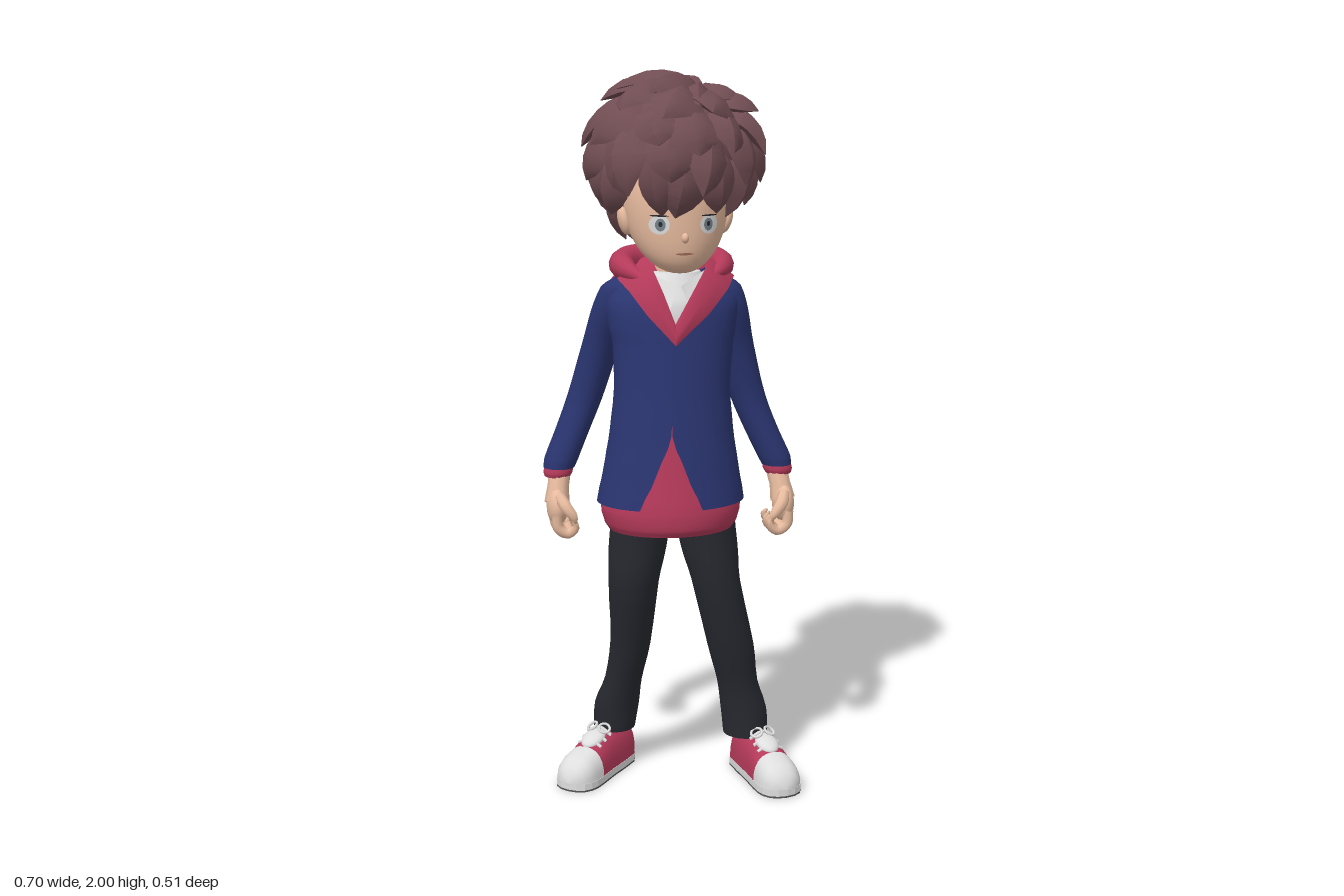
import * as THREE from 'three';
import { mergeGeometries, toCreasedNormals } from 'three/addons/utils/BufferGeometryUtils.js';

const V = (x, y, z) => new THREE.Vector3(x, y, z);
const mat = (name, color) => new THREE.MeshStandardMaterial({ name, color, side: THREE.DoubleSide });

// Skin a list of equal-length point rings
function loft(rings, closed = true, caps = false) {
  const n = rings[0].length, pos = rings.flat().flatMap(p => [p.x, p.y, p.z]), idx = [];
  for (let i = 0; i < rings.length - 1; i++) for (let j = 0; j < (closed ? n : n - 1); j++) {
    const a = i * n + j, b = i * n + (j + 1) % n;
    idx.push(a, b, b + n, a, b + n, a + n);
  }
  if (caps) [rings[0], rings[rings.length - 1]].forEach((ring, end) => {
    const c = ring.reduce((s, p) => s.add(p), V(0, 0, 0)).divideScalar(n), s = pos.length / 3;
    [c, ...ring].forEach(p => pos.push(p.x, p.y, p.z));
    for (let j = 0; j < n; j++) {
      const a = s + 1 + j, b = s + 1 + (j + 1) % n;
      end ? idx.push(s, a, b) : idx.push(s, b, a);
    }
  });
  const g = new THREE.BufferGeometry();
  g.setAttribute('position', new THREE.Float32BufferAttribute(pos, 3));
  g.setIndex(idx);
  g.computeVertexNormals();
  return g;
}

// Smooth stack of horizontal ellipses [x, y, z, rx, rz, frontGap], listed bottom to top
function stack(rows, closed = true, caps = true, seg = 24) {
  const mid = new THREE.CatmullRomCurve3(rows.map(r => V(r[0], r[1], r[2])));
  const size = new THREE.CatmullRomCurve3(rows.map(r => V(r[3], r[4], r[5] || 0)), false, 'catmullrom', 0.3);
  const steps = (rows.length - 1) * 3, rings = [];
  for (let i = 0; i <= steps; i++) {
    const c = mid.getPoint(i / steps), s = size.getPoint(i / steps), ring = [];
    const gap = closed ? 0 : Math.max(0, s.z), turn = closed ? 0 : -.13;
    for (let j = 0; j < (closed ? seg : seg + 1); j++) {
      const a = turn + gap + (2 * Math.PI - 2 * gap) * j / seg;
      ring.push(V(c.x + s.x * Math.sin(a), c.y, c.z + s.y * Math.cos(a)));
    }
    rings.push(ring);
  }
  return loft(rings, closed, caps);
}

// Tube whose radius follows a list of values
function taper(points, radii, seg = 16, sides = 10) {
  const curve = new THREE.CatmullRomCurve3(points.map(p => V(...p)));
  const g = new THREE.TubeGeometry(curve, seg, 1, sides), p = g.attributes.position, v = V(0, 0, 0);
  for (let i = 0; i <= seg; i++) {
    const c = curve.getPointAt(i / seg), f = i / seg * (radii.length - 1), k = Math.min(Math.floor(f), radii.length - 2);
    const r = THREE.MathUtils.lerp(radii[k], radii[k + 1], f - k);
    for (let j = 0; j <= sides; j++) {
      const q = i * (sides + 1) + j;
      v.fromBufferAttribute(p, q).sub(c).multiplyScalar(r).add(c);
      p.setXYZ(q, v.x, v.y, v.z);
    }
  }
  return g;
}

export function createModel() {
  const root = new THREE.Group();
  const hair = mat('hair brown', 0x704d52), skin = mat('skin', 0xf5c6a8), navy = mat('jacket navy', 0x2a3570);
  const red = mat('hoodie red', 0xb53a5a), white = mat('white', 0xdedede), dark = mat('trouser black', 0x282a31);
  const iris = mat('iris grey', 0x76828a), lip = mat('lip', 0xa8705e), soleGrey = mat('sole grey', 0x545558);
  const add = (name, geo, m, parent = root) => {
    const mesh = new THREE.Mesh(geo, m);
    mesh.name = name;
    parent.add(mesh);
    return mesh;
  };
  const ball = (name, m, [x, y, z], [a, b, c], parent = root) => {
    const s = add(name, new THREE.SphereGeometry(1, 20, 14), m, parent);
    s.position.set(x, y, z);
    s.scale.set(a, b, c);
    return s;
  };

  // Trousers, with slight folds above the cuffs
  add('rightTrouserLeg', stack([[-.143, .115, -.125, .06, .068], [-.138, .19, -.108, .064, .066], [-.124, .28, -.07, .053, .058],
    [-.11, .4, -.03, .057, .067], [-.11, .6, .03, .07, .083], [-.1, .7, .038, .08, .09], [-.085, .84, .05, .085, .095]]), dark);
  add('leftTrouserLeg', stack([[.222, .115, -.005, .064, .067], [.215, .19, 0, .066, .064], [.193, .28, .013, .058, .058],
    [.167, .4, .035, .066, .066], [.118, .6, .06, .068, .073], [.1, .7, .052, .08, .086], [.08, .84, .05, .085, .095]]), dark);

  // Red hoodie body under the open jacket
  add('hoodieHem', stack([[-.012, .765, .07, .172, .135], [-.012, .785, .07, .184, .146], [-.012, .83, .07, .194, .147],
    [-.01, .95, .068, .174, .126], [-.008, 1.08, .06, .152, .108]], true, false), red);
  add('trouserSeat', stack([[-.01, .78, .06, .15, .11], [-.01, .88, .06, .16, .115]]), dark);
  // Jacket with a split front hem and a V neck
  add('jacket', stack([[-.012, .842, .07, .204, .154, .43], [-.01, .94, .068, .186, .138, .22], [-.008, 1.04, .063, .17, .125, .01],
    [-.005, 1.15, .055, .16, .115, 0], [0, 1.27, .04, .166, .113, 0], [0, 1.32, .033, .176, .112, .05], [.002, 1.38, .022, .182, .109, .25],
    [.004, 1.43, 0, .162, .1, .6], [.005, 1.47, -.01, .09, .075, 1]], false, false, 36), navy);

  // Sleeves, cuffs and hands
  const arms = {
    right: [[-.3, .905, -.097, .044, .046], [-.292, .93, -.1, .048, .05], [-.262, 1, -.11, .048, .053], [-.222, 1.1, -.115, .05, .056],
      [-.18, 1.25, -.085, .053, .06], [-.152, 1.35, -.045, .06, .068], [-.138, 1.42, -.018, .05, .06], [-.125, 1.45, -.01, .022, .03]],
    left: [[.31, .905, -.025, .042, .046], [.302, .93, -.028, .047, .05], [.27, 1, -.037, .048, .053], [.23, 1.1, -.047, .05, .056],
      [.188, 1.25, -.032, .053, .06], [.16, 1.35, -.012, .06, .068], [.147, 1.42, -.005, .05, .06], [.132, 1.45, -.005, .022, .03]]
  };
  for (const [side, rows] of Object.entries(arms)) {
    const [x, , z] = rows[0], s = side === 'left' ? 1 : -1;
    add(side + 'Sleeve', stack(rows), navy);
    add(side + 'Cuff', stack([[x + s * .005, .88, z + .003, .036, .038], [x + s * .003, .892, z + .002, .041, .043], [x, .912, z, .04, .042]]), red);
    const hand = new THREE.Group();
    hand.name = side + 'Hand';
    hand.position.set(x + s * .006, .81, z + .036);
    hand.scale.x = s;
    root.add(hand);
    add('wrist', taper([[-.008, .085, -.03], [0, .04, -.014], [.005, 0, 0]], [.031, .03, .036]), skin, hand);
    ball('palm', skin, [.005, -.01, .004], [.03, .054, .05], hand);
    for (let i = 0; i < 4; i++) {
      const fz = .042 - i * .026, d = i === 3 ? .012 : 0;
      add('finger', taper([[.012, -.025, fz], [.006, -.064 + d, fz], [-.02, -.08 + d, fz], [-.04, -.06 + d, fz], [-.03, -.038, fz]],
        [.014, .016, .0155, .015, .003], 14, 8), skin, hand);
    }
    add('thumb', taper([[.002, .025, .03], [-.014, -.002, .058], [-.034, -.03, .062], [-.04, -.05, .052]], [.016, .018, .015, .003], 12, 8), skin, hand);
  }

  // Shirt, shirt collar and neck
  add('shirt', stack([[0, 1.29, .034, .1, .095], [.002, 1.38, .022, .13, .1], [.006, 1.43, .01, .1, .086], [.01, 1.465, .005, .07, .072]]), white);
  add('neck', new THREE.CylinderGeometry(.055, .06, .16, 20).translate(.012, 1.46, -.01), skin);
  for (const s of [-1, 1]) {
    const c = x => .004 + s * x;
    add('shirtCollar', loft([[V(c(.085), 1.475, .06), V(c(.004), 1.435, .112)], [V(c(.068), 1.42, .106), V(c(.03), 1.37, .132)]], false), white);
    // Folded hood lapel running down to the point of the V
    const row = (mid, out, yo, zo, inn, yi, zi) => [V(mid + s * out, yo, zo),
      V(mid + s * (out + inn) / 2, (yo + yi) / 2, (zo + zi) / 2 + .015), V(mid + s * inn, yi, zi)];
    add('hoodLapel', loft([row(-.013, 0, 1.28, .155, 0, 1.338, .148), row(-.002, .085, 1.362, .13, .04, 1.42, .126),
      row(.008, .135, 1.42, .085, .07, 1.475, .088), row(.01, .162, 1.45, .03, .08, 1.512, .03)], false), red);
  }
  // Hood: rim and lower roll behind the neck
  const around = half => [...half.map(p => [p[0] - .002, p[1], p[2]]), ...half.slice(0, -1).reverse().map(p => [-p[0] + .014, p[1], p[2]])];
  const rim = [[-.09, 1.455, .075], [-.122, 1.472, .03], [-.128, 1.48, -.02], [-.09, 1.482, -.085], [.006, 1.48, -.112]];
  const roll = [[-.13, 1.43, .03], [-.122, 1.42, -.04], [-.085, 1.41, -.088], [.006, 1.405, -.108]];
  add('hoodRim', taper(around(rim), [.012, .032, .04, .046, .048, .046, .04, .032, .012], 48, 12), red);
  add('hoodRoll', taper(around(roll), [.015, .04, .046, .047, .046, .04, .015], 36, 12), red);
  ball('hoodBack', red, [.005, 1.445, -.065], [.13, .06, .092]);

  // Head: an egg whose lower part slides forward to form the chin
  const H = V(.017, 1.65, -.012), R = V(.142, .188, .14);
  const chin = y => .065 * Math.max(0, -y / R.y) ** 2;
  const head = new THREE.SphereGeometry(1, 32, 24).scale(R.x, R.y, R.z), hp = head.attributes.position;
  for (let i = 0; i < hp.count; i++) hp.setZ(i, hp.getZ(i) + chin(hp.getY(i)));
  head.computeVertexNormals();
  add('head', head, skin).position.copy(H);
  // Painted patches that hug the face
  const patch = (name, m, x, y, w, h, lift) => {
    const g = new THREE.RingGeometry(0, 1, 20, 3).scale(w, h, 1).translate(x, y, 0), p = g.attributes.position;
    for (let i = 0; i < p.count; i++) {
      const a = p.getX(i), b = p.getY(i);
      p.setZ(i, R.z * Math.sqrt(Math.max(0, 1 - (a / R.x) ** 2 - (b / R.y) ** 2)) + chin(b) + lift);
    }
    g.computeVertexNormals();
    add(name, g, m).position.copy(H);
  };
  for (const s of [-1, 1]) {
    patch('eyeWhite', white, s * .067, -.05, .026, .026, .002);
    patch('iris', iris, s * .065, -.05, .013, .017, .0035);
    patch('pupil', dark, s * .065, -.048, .005, .007, .005);
    patch('lash', dark, s * .068, -.026, .024, .0022, .004);
    ball('ear', skin, [H.x + s * .14, 1.6, -.015], [.018, .04, .026]).rotation.z = -s * .25;
  }
  patch('mouth', lip, 0, -.128, .024, .003, .002);
  ball('nose', skin, [H.x, 1.565, .126], [.01, .014, .014]);

  // Hair: a cap under overlapping leaf-shaped tufts that swirl from the crown
  let seed = 7;
  const rnd = () => (seed = (seed * 16807) % 2147483647) / 2147483647 - .5;
  const C = V(.006, 1.77, 0), E = V(.197, .19, .2);
  const cap = add('hairCap', new THREE.SphereGeometry(1, 28, 18, 0, Math.PI * 2, 0, 1.95), hair);
  cap.position.copy(C);
  cap.scale.copy(E);
  cap.rotation.x = -.5;
  const spot = (th, ph, r) => {
    const k = Math.max(0, 1 - th / 1.4);
    return V(Math.sin(th) * Math.sin(ph) + .4 * k, Math.cos(th), Math.sin(th) * Math.cos(ph) + .16 * k).normalize().multiply(E).multiplyScalar(r);
  };
  const tuft = (th0, th1, ph, half, tip, twist) => {
    const rings = [], n = 6, at = t => spot(th0 + (th1 - th0) * t, ph + twist * t * t, .97 + (tip - .97) * Math.pow(t, 1.1));
    for (let i = 0; i <= n; i++) {
      const t = i / n, p = at(t), T = at(t + .02).sub(at(Math.max(0, t - .02))).normalize();
      const S = T.clone().cross(p.clone().normalize()).normalize(), N = S.clone().cross(T);
      const w = half * [.5, .8, .98, 1, .88, .58, .03][i], h = .026 * [.5, .9, 1, 1, .9, .6, .05][i];
      rings.push([[-w, -h * .5], [-w * .4, h * .7], [w * .15, h], [w, -h * .5], [0, -h]]
        .map(([a, b]) => p.clone().add(C).addScaledVector(S, a).addScaledVector(N, b)));
    }
    return toCreasedNormals(loft(rings, true, true), .8);
  };
  const tufts = [];
  [[.05, .75, 6, .055, 1.22], [.35, 1.02, 8, .068, 1.31], [.75, 1.45, 10, .07, 1.27], [1.1, 1.85, 11, .068, 1.24],
    [1.45, 2.3, 13, .06, 1.17], [1.75, 2.55, 13, .058, 1.25], [2.05, 2.62, 15, .055, 1.4]].forEach(([a, b, count, half, tip], row) => {
    for (let i = 0; i < count; i++) {
      const ph = (i + (row % 2) / 2) / count * Math.PI * 2 + rnd() * .2, front = Math.cos(ph);
      if (row > 4 && front > -.2) continue;
      const limit = front > .35 ? 2.29 : front > -.2 ? 2.17 : 2.68;
      tufts.push(tuft(a, Math.min(limit, b + rnd() * .2), ph, half * (1 + rnd() * .3), tip + rnd() * .1, rnd() * .5));
    }
  });
  add('hairTufts', mergeGeometries(tufts), hair);

  // Shoes: sections [z, half width, height] from heel to toe
  const upper = [[-.161, .003, .03], [-.158, .015, .07], [-.15, .036, .1], [-.12, .052, .12], [-.06, .056, .125],
    [0, .057, .122], [.04, .06, .11], [.065, .062, .099]];
  const toe = [[.065, .062, .1], [.1, .063, .092], [.125, .058, .082], [.145, .046, .066], [.157, .026, .045], [.161, .003, .024]];
  const arch = list => loft(list.map(([z, w, h]) => Array.from({ length: 13 }, (_, j) => {
    const a = j / 12 * Math.PI, c = Math.cos(a);
    return V(w * Math.sign(c) * Math.abs(c) ** .8, .012 + (h - .012) * Math.sin(a) ** .75, z);
  })), false);
  const outline = [...upper, ...toe.slice(1)].map(([z, w]) => new THREE.Vector2(w * 1.01, z));
  const sole = new THREE.Shape([...outline, ...outline.map(p => new THREE.Vector2(-p.x, p.y)).reverse()]);
  const slab = (top, depth) => new THREE.ExtrudeGeometry(sole, { depth, bevelEnabled: false }).rotateX(Math.PI / 2).translate(0, top, 0);
  for (const [name, x, z, yaw] of [['leftShoe', .259, .072, .2], ['rightShoe', -.204, -.052, -.7]]) {
    const shoe = new THREE.Group();
    shoe.name = name;
    shoe.position.set(x, 0, z);
    shoe.rotation.y = yaw;
    root.add(shoe);
    add('upper', arch(upper), red, shoe);
    add('toeCap', arch(toe), white, shoe);
    add('soleRim', slab(.024, .019), white, shoe);
    add('soleBottom', slab(.005, .005), soleGrey, shoe);
    ball('tongue', white, [0, .112, .022], [.032, .016, .045], shoe).rotation.x = .3;
    for (let i = 0; i < 3; i++) {
      const lz = -.01 + i * .026, ly = .134 - i * .01;
      add('lace', taper([[-.038, ly - .016, lz], [0, ly, lz], [.038, ly - .016, lz]], [.005, .006, .005], 8, 6), white, shoe);
    }
    for (const s of [-1, 1]) {
      const bow = add('laceBow', new THREE.TorusGeometry(.016, .004, 6, 14), white, shoe);
      bow.position.set(s * .02, .136, -.005);
      bow.rotation.set(-1.1, s * .4, 0);
    }
  }
  return root;
}
